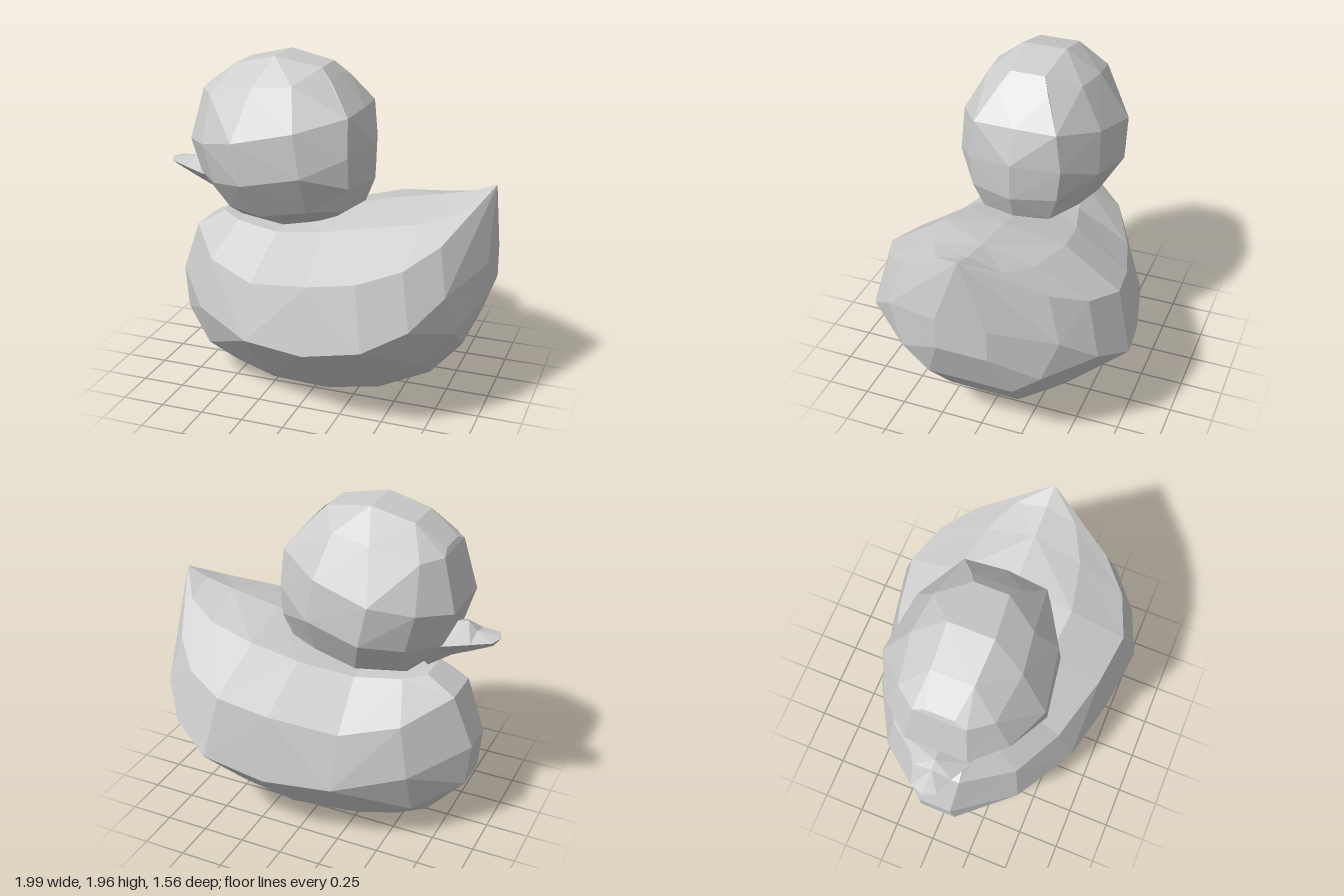
import * as THREE from 'three';

const material = new THREE.MeshStandardMaterial({ color: 0xcccccc, flatShading: true });

// Skins mirrored half sections ([x, y, z] from bottom to top on the +z side), listed along +x.
function loft(name, sections) {
  const half = sections[0].length;
  const n = half * 2;
  const points = [];
  for (const s of sections) {
    for (const [x, y, z] of s) points.push(new THREE.Vector3(x, y, z));
    for (const [x, y, z] of [...s].reverse()) points.push(new THREE.Vector3(x, y, -z));
  }
  const center = new THREE.Box3().setFromPoints(points).getCenter(new THREE.Vector3());
  const reach = (a, b) => points[a].clone().add(points[b]).multiplyScalar(0.5).distanceTo(center);
  const index = [];
  // Splits each quad along its outer diagonal so the facets stay convex
  const quad = (a, b, c, d) => {
    if (reach(a, c) >= reach(b, d)) index.push(a, b, c, a, c, d);
    else index.push(a, b, d, b, c, d);
  };
  for (let i = 0; i < sections.length - 1; i++) {
    for (let j = 0; j < n; j++) {
      const k = (j + 1) % n;
      quad(i * n + j, (i + 1) * n + j, (i + 1) * n + k, i * n + k);
    }
  }
  // End caps as strips between the two mirrored halves
  const last = (sections.length - 1) * n;
  for (let j = 0; j < half - 1; j++) {
    quad(j, j + 1, n - 2 - j, n - 1 - j);
    quad(last + n - 1 - j, last + n - 2 - j, last + j + 1, last + j);
  }
  const indexed = new THREE.BufferGeometry().setFromPoints(points);
  indexed.setIndex(index);
  const geometry = indexed.toNonIndexed();
  geometry.computeVertexNormals();
  const mesh = new THREE.Mesh(geometry, material);
  mesh.name = name;
  return mesh;
}

export function createModel() {
  const group = new THREE.Group();
  group.name = 'duck';

  // Body: keel, lower side, widest line, upper crease, back, spine; breast to tail
  group.add(loft('body', [
    [[-0.67, 0.12, 0.15], [-0.88, 0.34, 0.11], [-0.905, 0.59, 0.1], [-0.79, 0.9, 0.12], [-0.62, 1.0, 0.1], [-0.62, 1.0, 0]],
    [[-0.51, 0.07, 0.2], [-0.64, 0.23, 0.33], [-0.64, 0.5, 0.43], [-0.58, 0.8, 0.39], [-0.5, 0.98, 0.18], [-0.5, 0.98, 0]],
    [[-0.27, 0.01, 0.22], [-0.27, 0.13, 0.38], [-0.27, 0.44, 0.64], [-0.27, 0.75, 0.54], [-0.23, 0.96, 0.24], [-0.23, 0.97, 0]],
    [[0.08, 0, 0.22], [0.1, 0.09, 0.38], [0.11, 0.45, 0.73], [0.11, 0.83, 0.65], [0.08, 1.03, 0.33], [0.08, 1.07, 0]],
    [[0.39, 0.06, 0.22], [0.42, 0.18, 0.42], [0.46, 0.55, 0.78], [0.4, 0.9, 0.69], [0.36, 1.1, 0.36], [0.36, 1.16, 0]],
    [[0.7, 0.21, 0.21], [0.69, 0.36, 0.42], [0.69, 0.66, 0.67], [0.63, 0.97, 0.59], [0.65, 1.14, 0.3], [0.68, 1.22, 0]],
    [[0.89, 0.44, 0.25], [0.88, 0.57, 0.41], [0.84, 0.81, 0.5], [0.79, 1.07, 0.42], [0.85, 1.2, 0.19], [0.86, 1.26, 0]],
    [[0.99, 0.71, 0.15], [0.99, 0.8, 0.15], [0.99, 0.9, 0.15], [0.99, 1.31, 0], [0.99, 1.31, 0], [0.99, 1.31, 0]],
  ]));

  // Head: faceted ball, tipped toward the beak and closing in a vertical ridge behind
  group.add(loft('head', [
    [[-0.66, 1.14, 0.1], [-0.69, 1.19, 0.15], [-0.725, 1.25, 0.17], [-0.785, 1.45, 0.18], [-0.705, 1.75, 0.15], [-0.69, 1.78, 0.08]],
    [[-0.5, 1.0, 0.12], [-0.52, 1.08, 0.24], [-0.57, 1.25, 0.34], [-0.63, 1.48, 0.36], [-0.61, 1.74, 0.27], [-0.52, 1.9, 0.12]],
    [[-0.23, 0.97, 0.14], [-0.28, 1.08, 0.34], [-0.35, 1.29, 0.47], [-0.4, 1.53, 0.47], [-0.34, 1.81, 0.31], [-0.27, 1.96, 0.13]],
    [[0, 1.02, 0.14], [-0.02, 1.12, 0.3], [-0.02, 1.35, 0.42], [-0.06, 1.6, 0.41], [-0.11, 1.83, 0.28], [0, 1.91, 0.1]],
    [[0.1, 1.06, 0.13], [0.17, 1.12, 0.2], [0.21, 1.27, 0.25], [0.21, 1.45, 0.27], [0.2, 1.67, 0.24], [0.08, 1.83, 0.15]],
    [[0.12, 1.06, 0], [0.23, 1.13, 0], [0.285, 1.27, 0], [0.285, 1.48, 0], [0.22, 1.68, 0], [0.06, 1.86, 0]],
  ]));

  // Beak: flat tip flaring into the face
  group.add(loft('beak', [
    [[-0.985, 1.25, 0], [-0.99, 1.26, 0.02], [-1, 1.27, 0]],
    [[-0.955, 1.21, 0], [-0.97, 1.265, 0.075], [-0.955, 1.275, 0]],
    [[-0.84, 1.155, 0], [-0.86, 1.25, 0.115], [-0.86, 1.285, 0]],
    [[-0.72, 1.1, 0], [-0.74, 1.245, 0.18], [-0.81, 1.33, 0]],
    [[-0.58, 1.0, 0], [-0.55, 1.2, 0.18], [-0.6, 1.3, 0]],
  ]));

  return group;
}
